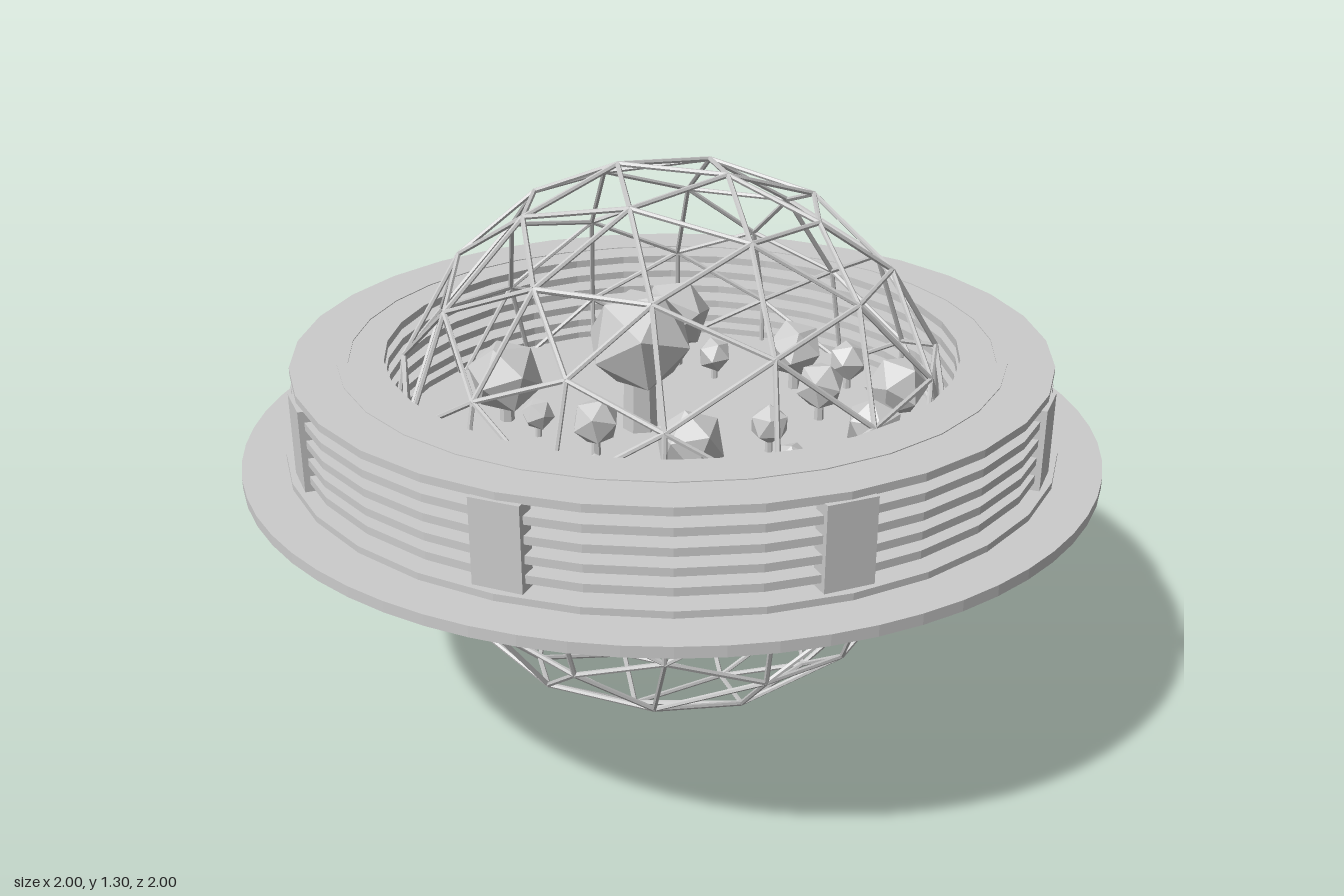
import * as THREE from 'three';
import { mergeGeometries } from 'three/addons/utils/BufferGeometryUtils.js';

const material = new THREE.MeshStandardMaterial({ color: 0xcccccc, flatShading: true });

function add(parent, name, geometry, x = 0, y = 0, z = 0) {
  const mesh = new THREE.Mesh(geometry, material);
  mesh.name = name;
  mesh.position.set(x, y, z);
  parent.add(mesh);
  return mesh;
}

// Flat-sided ring with a rectangular section, from height y0 to y1
function ring(inner, outer, y0, y1, sides = 32) {
  const section = [[inner, y0], [outer, y0], [outer, y1], [inner, y1], [inner, y0]];
  return new THREE.LatheGeometry(section.map(([r, y]) => new THREE.Vector2(r, y)), sides);
}

// One thin bar for every distinct edge of a geodesic sphere
function geodesicFrame(radius, thickness) {
  const pos = new THREE.IcosahedronGeometry(radius, 2).getAttribute('position');
  const key = (v) => v.toArray().map((n) => Math.round(n * 1000) + 0).join();
  const seen = new Set();
  const bars = [];
  const up = new THREE.Vector3(0, 1, 0);
  for (let i = 0; i < pos.count; i += 3) {
    for (let k = 0; k < 3; k++) {
      const a = new THREE.Vector3().fromBufferAttribute(pos, i + k);
      const b = new THREE.Vector3().fromBufferAttribute(pos, i + (k + 1) % 3);
      const id = [key(a), key(b)].sort().join('|');
      if (seen.has(id)) continue;
      seen.add(id);
      const dir = b.clone().sub(a);
      const bar = new THREE.CylinderGeometry(thickness, thickness, dir.length(), 6);
      bar.applyQuaternion(new THREE.Quaternion().setFromUnitVectors(up, dir.normalize()));
      const mid = a.add(b).multiplyScalar(0.5);
      bars.push(bar.translate(mid.x, mid.y, mid.z));
    }
  }
  return mergeGeometries(bars);
}

// Tree: x, z, crown radius, crown height, foot of the trunk, trunk radius
function tree(parent, index, [x, z, r, y = 0.675 + 1.35 * r, foot = 0.66, trunk = 0.2 * r]) {
  const group = new THREE.Group();
  group.name = 'tree' + (index + 1);
  parent.add(group);
  add(group, 'trunk', new THREE.CylinderGeometry(trunk * 0.8, trunk, y - foot, 6), x, (y + foot) / 2, z);
  const crown = add(group, 'crown', new THREE.IcosahedronGeometry(r, 0), x, y, z);
  crown.rotation.set(index * 0.7 + 0.3, index * 1.3 + 0.5, index * 0.4);
}

export function createModel() {
  const model = new THREE.Group();
  model.name = 'domeHabitat';

  // Geodesic sphere
  add(model, 'geodesicFrame', geodesicFrame(0.66, 0.006), 0, 0.6525, 0);

  // Round floor plate and the low kerb on it
  add(model, 'floorPlate', new THREE.CylinderGeometry(1, 1, 0.025, 64), 0, 0.659, 0);
  add(model, 'kerb', ring(0.665, 0.9, 0.67, 0.687));

  // Slatted ring wall around the dome
  const wall = new THREE.Group();
  wall.name = 'ringWall';
  model.add(wall);
  add(wall, 'core', ring(0.745, 0.77, 0.67, 0.893));
  for (let i = 0; i < 5; i++) {
    const y = 0.705 + i * 0.042;
    add(wall, 'slat', ring(0.665, 0.875, y, y + 0.018));
  }

  // Eight upright panels
  for (let i = 0; i < 8; i++) {
    const a = (i * Math.PI) / 4;
    const panel = add(wall, 'panel', new THREE.BoxGeometry(0.11, 0.195, 0.045),
      Math.sin(a) * 0.86, 0.777, Math.cos(a) * 0.86);
    panel.rotation.y = a;
  }

  // Garden
  const garden = new THREE.Group();
  garden.name = 'garden';
  model.add(garden);
  [
    [-0.07, 0.03, 0.13, 0.895, 0.66, 0.042],
    [-0.15, -0.39, 0.093, 0.81],
    [-0.02, -0.335, 0.045],
    [0.19, -0.35, 0.075],
    [0.315, -0.4, 0.052],
    [0.48, -0.255, 0.078, 0.755, 0.595, 0.013],
    [0.31, -0.18, 0.062],
    [0.26, 0.045, 0.048],
    [0.5, 0.025, 0.068],
    [0.36, 0.185, 0.04],
    [0.165, 0.3, 0.08],
    [-0.1, 0.215, 0.058, 0.755, 0.635],
    [0.005, 0.43, 0.045],
    [-0.385, 0.11, 0.093, 0.785, 0.64],
    [-0.27, 0.17, 0.04],
  ].forEach((t, i) => tree(garden, i, t));

  return model;
}
